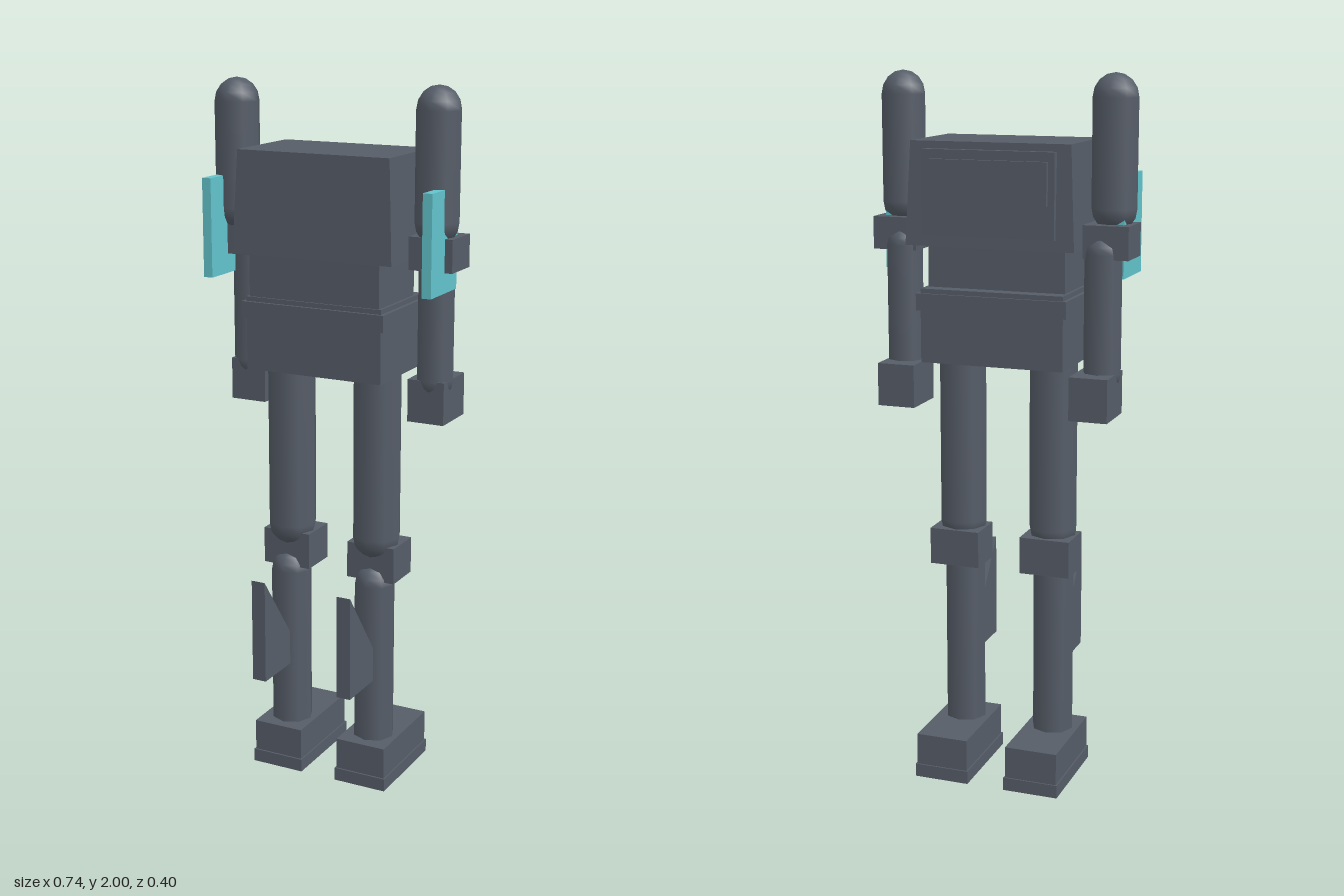
import * as THREE from 'three';

const armour = new THREE.MeshStandardMaterial({ color: 0x565d68 });
armour.name = 'slate grey';
const panel = new THREE.MeshStandardMaterial({ color: 0x62c4cc });
panel.name = 'teal';

function add(parent, name, geometry, material = armour) {
  const mesh = new THREE.Mesh(geometry, material);
  mesh.name = name;
  parent.add(mesh);
  return mesh;
}

// Box given by its [min, max] extent on each axis
function box(parent, name, [x0, x1], [y0, y1], [z0, z1], material) {
  const mesh = add(parent, name, new THREE.BoxGeometry(x1 - x0, y1 - y0, z1 - z0), material);
  mesh.position.set((x0 + x1) / 2, (y0 + y1) / 2, (z0 + z1) / 2);
  return mesh;
}

// Upright eight-sided limb with domed ends
function limb(parent, name, x, z, r, y0, y1) {
  const mesh = add(parent, name, new THREE.CapsuleGeometry(r, y1 - y0 - 2 * r, 4, 8));
  mesh.position.set(x, (y0 + y1) / 2, z);
}

function buildTorso() {
  const torso = new THREE.Group();
  torso.name = 'torso';

  // Chest narrows slightly towards the top
  const chest = box(torso, 'chest', [-0.24, 0.24], [1.54, 1.82], [-0.162, 0.132]);
  const p = chest.geometry.attributes.position;
  for (let i = 0; i < p.count; i++) {
    if (p.getY(i) > 0) p.setXYZ(i, p.getX(i) * 0.945, p.getY(i), p.getZ(i) * 0.925);
  }
  chest.geometry.computeVertexNormals();

  // Stepped back plates
  box(torso, 'backPlate', [-0.188, 0.188], [1.57, 1.80], [-0.172, -0.13]);
  box(torso, 'backPanel', [-0.17, 0.17], [1.66, 1.775], [-0.184, -0.15]);

  box(torso, 'abdomen', [-0.197, 0.197], [1.40, 1.55], [-0.105, 0.115]);
  box(torso, 'pelvis', [-0.205, 0.205], [1.215, 1.42], [-0.145, 0.12]);
  box(torso, 'belt', [-0.216, 0.216], [1.36, 1.407], [-0.152, 0.128]);
  return torso;
}

function buildArm(s) {
  const arm = new THREE.Group();
  arm.name = s > 0 ? 'leftArm' : 'rightArm';
  const span = (a, b) => (s > 0 ? [a, b] : [-b, -a]);
  limb(arm, 'upperArm', s * 0.304, -0.014, 0.064, 1.58, 2.0);
  box(arm, 'elbow', span(0.24, 0.367), [1.515, 1.605], [-0.09, 0.026]);
  limb(arm, 'forearm', s * 0.288, -0.055, 0.053, 1.15, 1.58);
  box(arm, 'hand', span(0.225, 0.333), [1.085, 1.205], [-0.153, -0.012]);
  box(arm, 'armPanel', span(0.318, 0.345), [1.46, 1.735], [-0.055, 0.112], panel);
  return arm;
}

function buildLeg(s) {
  const leg = new THREE.Group();
  leg.name = s > 0 ? 'leftLeg' : 'rightLeg';
  const x = s * 0.135;
  const span = h => [x - h, x + h];
  limb(leg, 'thigh', x, -0.01, 0.07, 0.67, 1.29);
  box(leg, 'knee', span(0.073), [0.615, 0.72], [-0.086, 0.03]);
  limb(leg, 'shin', x, 0, 0.06, 0.07, 0.66);

  // Shin fin, a side profile with its sloping edge facing the knee
  const fin = new THREE.Shape([
    new THREE.Vector2(-0.198, 0.318), new THREE.Vector2(-0.03, 0.318),
    new THREE.Vector2(-0.03, 0.39), new THREE.Vector2(-0.198, 0.62),
  ]);
  const finMesh = add(leg, 'shinFin', new THREE.ExtrudeGeometry(fin, { depth: 0.042, bevelEnabled: false }));
  finMesh.rotation.y = Math.PI / 2;
  finMesh.position.x = x - 0.021;

  // Foot reaches further back than forward
  box(leg, 'foot', span(0.076), [0.03, 0.13], [-0.195, 0.09]);
  box(leg, 'sole', span(0.08), [0, 0.038], [-0.199, 0.095]);
  return leg;
}

export function createModel() {
  const model = new THREE.Group();
  model.name = 'robot';
  model.add(buildTorso());
  for (const s of [1, -1]) model.add(buildArm(s), buildLeg(s));
  return model;
}
